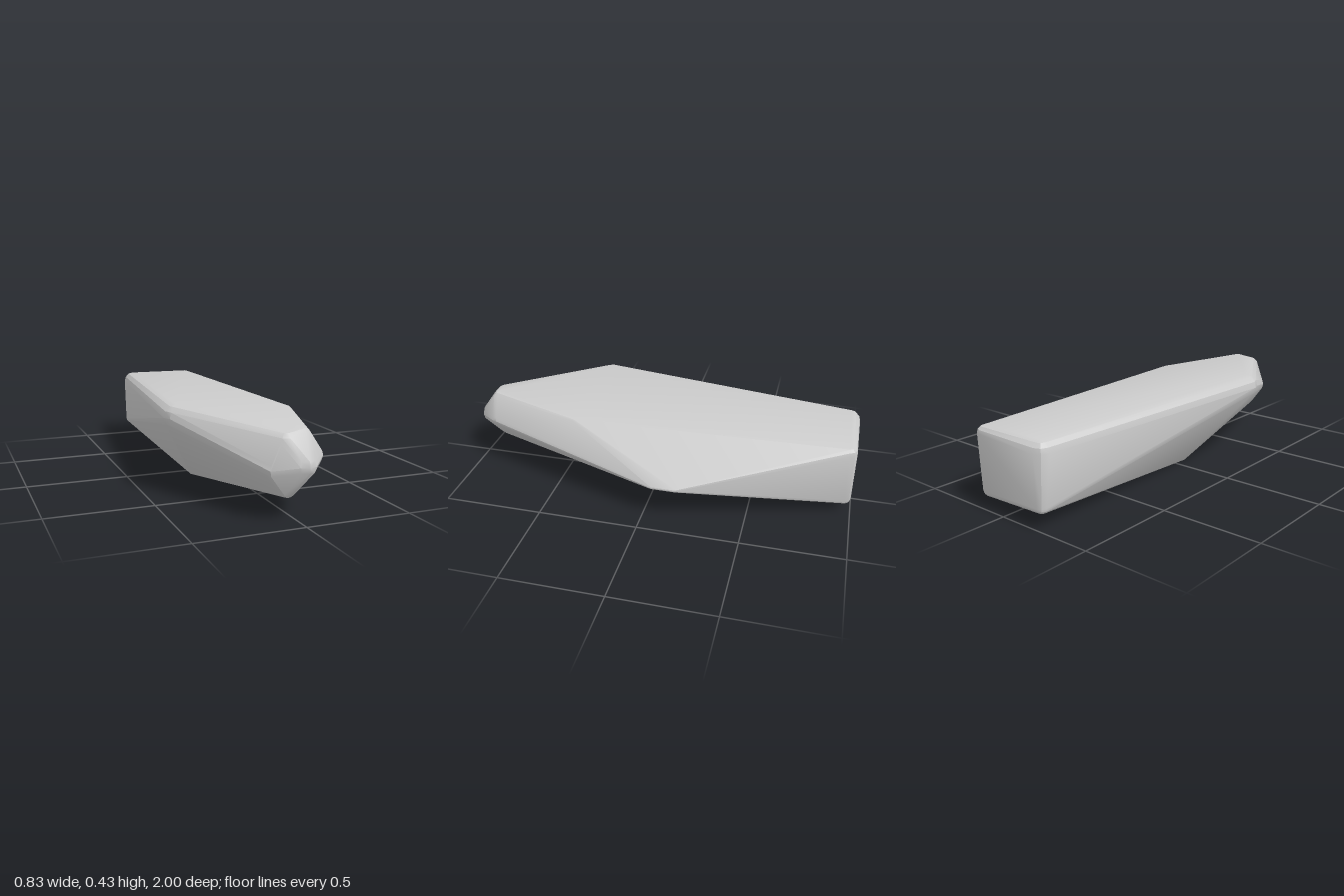
import * as THREE from 'three';
import { ConvexGeometry } from 'three/addons/geometries/ConvexGeometry.js';
import { toCreasedNormals } from 'three/addons/utils/BufferGeometryUtils.js';

// Rounded corners of the stone: x, y, z of the centre, then radius
const corners = [
  // blunt back end
  [-0.21, 0.34, -0.95, 0.05],
  [0.14, 0.35, -0.96, 0.035],
  [0.125, 0.085, -0.965, 0.03],
  [-0.22, 0.1, -0.97, 0.03],
  // widest points along the body
  [-0.355, 0.37, 0.37, 0.06],
  [0.2, 0.37, 0.4, 0.02],
  [0.403, 0.18, -0.05, 0.01],
  [0.403, 0.18, -0.17, 0.01],
  [-0.18, 0.005, 0.07, 0.005],
  // narrow front tip
  [0.03, 0.36, 0.88, 0.04],
  [-0.05, 0.34, 0.89, 0.05],
  [0.1, 0.27, 0.87, 0.035],
  [-0.1, 0.23, 0.89, 0.045],
  [-0.04, 0.14, 0.89, 0.04],
  [0.01, 0.25, 0.95, 0.05],
];

// Points on a small ball around a corner
function ballPoints([x, y, z, r]) {
  const points = [];
  const rings = 6, sides = 8;
  for (let i = 0; i <= rings; i++) {
    const count = i === 0 || i === rings ? 1 : sides;
    for (let j = 0; j < count; j++) {
      const p = new THREE.Vector3().setFromSphericalCoords(
        r, (i / rings) * Math.PI, (j / sides) * Math.PI * 2);
      points.push(p.add(new THREE.Vector3(x, y, z)));
    }
  }
  return points;
}

export function createModel() {
  const group = new THREE.Group();
  group.name = 'stone';

  // One convex body stretched over all the rounded corners
  const hull = new ConvexGeometry(corners.flatMap(ballPoints));
  const body = new THREE.Mesh(
    toCreasedNormals(hull, 0.5),
    new THREE.MeshStandardMaterial({ color: 0xcccccc }));
  body.name = 'stoneBody';
  group.add(body);
  return group;
}
